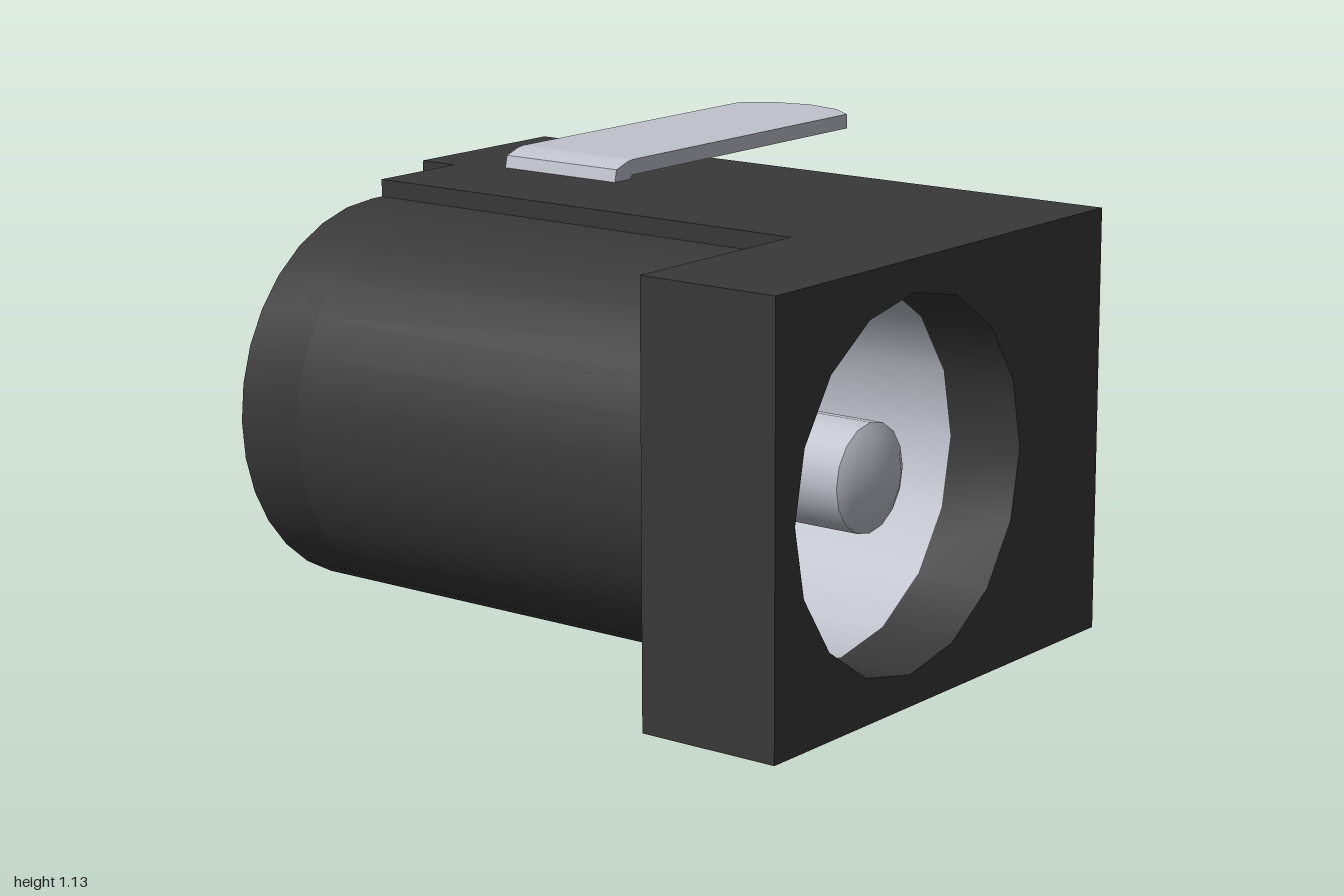
import * as THREE from 'three';
import { toCreasedNormals } from 'three/addons/utils/BufferGeometryUtils.js';

const plastic = new THREE.MeshStandardMaterial({ color: 0x383838 });
const metal = new THREE.MeshStandardMaterial({ color: 0xc0c3cd });
const sleeveMetal = new THREE.MeshStandardMaterial({ color: 0xc0c3cd, side: THREE.DoubleSide });

const CX = -0.465, CY = 0.54; // socket axis
const W = 0.185; // half width of a terminal blade

function add(group, name, geometry, material) {
  const mesh = new THREE.Mesh(toCreasedNormals(geometry, 0.6), material);
  mesh.name = name;
  group.add(mesh);
  return mesh;
}

// Extrudes a shape from z0 to z1, with an optional round hole on the socket axis
function slab(shape, z0, z1, holeRadius) {
  if (holeRadius) {
    const hole = new THREE.Path();
    hole.absarc(CX, CY, holeRadius, 0, Math.PI * 2, true);
    shape.holes.push(hole);
  }
  return new THREE.ExtrudeGeometry(shape, { depth: z1 - z0, bevelEnabled: false, curveSegments: 8 }).translate(0, 0, z0);
}

function rect(x0, y0, x1, y1) {
  return new THREE.Shape([[x0, y0], [x1, y0], [x1, y1], [x0, y1]].map(p => new THREE.Vector2(...p)));
}

// Square on the terminal side, rounded around the socket
function bodyShape() {
  const s = new THREE.Shape();
  s.moveTo(-0.43, 0);
  s.lineTo(0.35, 0);
  s.lineTo(0.35, 1.08);
  s.lineTo(-0.43, 1.08);
  s.lineTo(-0.43, CY + 0.495);
  s.absarc(CX, CY, 0.495, Math.PI / 2, Math.PI * 1.5, false);
  s.lineTo(-0.43, CY - 0.495);
  return s;
}

// Blade outline with a faceted tip at x = 1, centred on v = 0
function bladeShape(startX) {
  return new THREE.Shape([
    [startX, -W], [0.92, -W], [0.975, -0.11], [1, 0], [0.975, 0.11], [0.92, W], [startX, W],
  ].map(p => new THREE.Vector2(...p)));
}

export function createModel() {
  const model = new THREE.Group();
  model.name = 'powerSocket';

  // Housing
  const housing = new THREE.Group();
  housing.name = 'housing';
  model.add(housing);
  add(housing, 'frontPlate', slab(rect(-1, 0, 0.35, 1.08), 0.52, 0.9, 0.46), plastic);
  add(housing, 'body', slab(bodyShape(), -0.6, 0.52, 0.46), plastic);
  add(housing, 'backWall', slab(bodyShape(), -0.79, -0.6, 0.13), plastic);
  for (const [name, y0, y1] of [['lowerRearBlock', 0, 0.33], ['upperRearBlock', 0.75, 1.08]]) {
    add(housing, name, slab(rect(-0.15, y0, 0.35, y1), -0.9, -0.79), plastic);
  }

  // Metal lining, set back inside the socket
  const lining = new THREE.CylinderGeometry(0.457, 0.457, 1.3, 16, 1, true).rotateX(Math.PI / 2);
  add(model, 'socketLining', lining, sleeveMetal).position.set(CX, CY, 0.05);

  // Centre pin with its hollow riveted end at the back
  const profile = [
    [0, -0.45], [0.105, -0.45], [0.105, -0.84], [0.115, -0.87], [0.155, -0.87],
    [0.155, -0.82], [0.135, -0.82], [0.135, 0.78], [0.1, 0.8], [0, 0.81],
  ].map(p => new THREE.Vector2(...p));
  const pin = new THREE.LatheGeometry(profile, 16).rotateX(Math.PI / 2);
  add(model, 'centrePin', pin, metal).position.set(CX, CY, 0);

  // Rear terminal: round eye joined to a blade
  const a = Math.asin(W / 0.26);
  const eye = new THREE.Shape();
  eye.absarc(0, 0, 0.26, a, Math.PI * 2 - a, false);
  for (const [x, y] of [[0.92, -W], [0.975, -0.11], [1, 0], [0.975, 0.11], [0.92, W]]) eye.lineTo(x - CX, y);
  const eyeHole = new THREE.Path();
  eyeHole.absarc(0, 0, 0.13, 0, Math.PI * 2, true);
  eye.holes.push(eyeHole);
  add(model, 'rearTerminal', slab(eye, -0.83, -0.79), metal).position.set(CX, CY + 0.005, 0);

  // Side terminal, emerging from the middle of the side wall
  add(model, 'sideTerminal', slab(bladeShape(0.3), 0, 0.043), metal).position.y = CY + 0.005;

  // Top terminal, lying flat with its inner end bent down onto the housing
  const top = slab(bladeShape(-0.03), 0, 0.04).rotateX(-Math.PI / 2);
  add(model, 'topTerminal', top, metal).position.set(0, 1.09, -0.467);
  const bend = new THREE.Shape([[-0.105, 1.07], [-0.04, 1.08], [-0.03, 1.09], [-0.03, 1.13], [-0.05, 1.127], [-0.095, 1.112]]
    .map(p => new THREE.Vector2(...p)));
  add(model, 'topTerminalBend', slab(bend, -0.467 - W, -0.467 + W), metal);

  return model;
}
